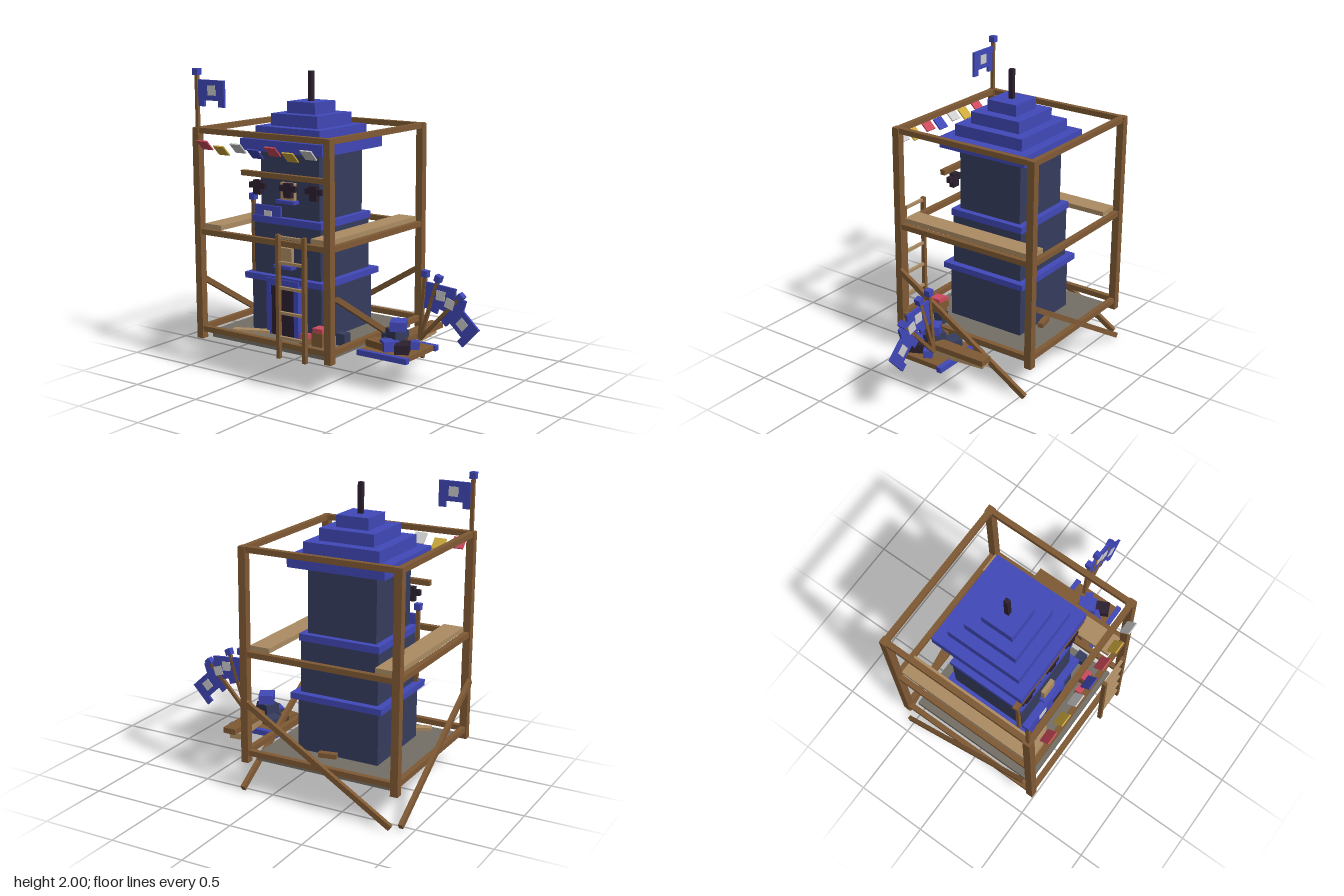
import * as THREE from 'three';

const mat = (name, color) => {
  const m = new THREE.MeshStandardMaterial({ color });
  m.name = name;
  return m;
};

export function createModel() {
  const wood = mat('wood brown', 0x805a34);
  const plank = mat('plank tan', 0xac8c63);
  const blue = mat('bright blue', 0x4148b8);
  const slate = mat('slate navy', 0x363d5e);
  const dark = mat('dark plum', 0x2c2030);
  const red = mat('red', 0xcc4a5c);
  const yellow = mat('yellow', 0xccaa3c);
  const white = mat('pale grey', 0xcccccc);
  const stone = mat('stone grey', 0x746f65);

  const model = new THREE.Group();
  const group = (name, parent = model) => {
    const g = new THREE.Group();
    g.name = name;
    parent.add(g);
    return g;
  };
  // Box from centre and size
  const box = (parent, name, m, [x, y, z], [w, h, d], ry = 0) => {
    const b = new THREE.Mesh(new THREE.BoxGeometry(w, h, d), m);
    b.name = name;
    b.position.set(x, y, z);
    b.rotation.y = ry;
    parent.add(b);
    return b;
  };
  // Box from horizontal centre and bottom/top heights
  const block = (parent, name, m, x, z, y0, y1, w, d = w, ry = 0) =>
    box(parent, name, m, [x, (y0 + y1) / 2, z], [w, y1 - y0, d], ry);
  // Square beam between two points
  const beam = (parent, name, m, a, b, w, h) => {
    const p = new THREE.Vector3(...a), q = new THREE.Vector3(...b);
    const mid = p.clone().add(q).multiplyScalar(0.5);
    const s = box(parent, name, m, mid.toArray(), [w, h, p.distanceTo(q)]);
    s.lookAt(q);
  };

  const CX = -0.36, CZ = -0.024, R = 0.522;

  // Stone base
  block(model, 'stoneBase', stone, CX, CZ, 0.22, 0.268, 0.95);

  // Scaffold: posts, three rings of rails, walkways and braces
  const scaffold = group('scaffold');
  for (const sx of [-1, 1])
    for (const sz of [-1, 1])
      block(scaffold, 'post', wood, CX + sx * R, CZ + sz * R, 0.22, 1.62, 0.05);
  for (const y of [0.287, 0.942, 1.605])
    for (const s of [-1, 1]) {
      box(scaffold, 'rail', wood, [CX, y, CZ + s * R], [2 * R + 0.05, 0.036, 0.036]);
      box(scaffold, 'rail', wood, [CX + s * R, y, CZ], [0.036, 0.036, 2 * R + 0.05]);
    }
  for (const s of [-1, 1])
    block(scaffold, 'walkway', plank, CX + s * 0.431, CZ, 0.958, 0.99, 0.138, 1.0);
  for (const x of [-0.917, 0.2])
    beam(scaffold, 'sideBrace', wood, [x, 0.633, 0.473], [x, 0.02, -0.538], 0.028, 0.036);
  beam(scaffold, 'backBrace', wood, [0.14, 0.633, -0.582], [-0.87, 0.02, -0.582], 0.028, 0.036);

  // Tower body, trim bands and stepped roof: [name, material, half width, bottom, top]
  const tower = group('tower');
  const tiers = [
    ['lowerWall', slate, 0.282, 0.265, 0.618], ['lowerBand', blue, 0.318, 0.617, 0.657],
    ['middleWall', slate, 0.27, 0.655, 1.0], ['upperBand', blue, 0.279, 0.995, 1.04],
    ['upperWall', slate, 0.237, 1.04, 1.475], ['roofStep', blue, 0.332, 1.472, 1.547],
    ['roofStep', blue, 0.26, 1.547, 1.625], ['roofStep', blue, 0.187, 1.625, 1.704],
    ['roofStep', blue, 0.112, 1.704, 1.78], ['roofSpire', dark, 0.015, 1.78, 1.975],
  ];
  for (const [name, m, half, y0, y1] of tiers) block(tower, name, m, CX, CZ, y0, y1, half * 2);

  // Door with frame
  block(tower, 'door', dark, CX, 0.275, 0.268, 0.6, 0.19, 0.05);
  for (const s of [-1, 1]) block(tower, 'doorJamb', blue, CX + s * 0.112, 0.28, 0.268, 0.645, 0.036, 0.05);
  block(tower, 'doorLintel', blue, CX, 0.28, 0.598, 0.645, 0.26, 0.05);

  // Windows with sills
  for (const [y, z] of [[0.735, 0.247], [1.158, 0.214]]) {
    block(tower, 'window', plank, CX, z + 0.012, y, y + 0.115, 0.11, 0.03);
    block(tower, 'windowSill', blue, CX, z + 0.02, y - 0.02, y + 0.002, 0.15, 0.07);
  }

  // Cross beam with hanging lamps
  const hanging = group('hangingBeam');
  box(hanging, 'crossBeam', wood, [-0.355, 1.315, 0.265], [0.71, 0.034, 0.036]);
  for (const x of [-0.58, -0.33, -0.125]) {
    block(hanging, 'lamp', dark, x, 0.265, 1.182, 1.277, 0.058, 0.034);
    block(hanging, 'lampArm', dark, x, 0.265, 1.223, 1.26, 0.128, 0.03);
  }

  // Flag on a pole, tilted about its foot
  const flag = (name, x, y, z, tilt, length = 0.455) => {
    const f = group(name);
    f.position.set(x, y, z);
    f.rotation.z = -tilt;
    const t = length;
    block(f, 'flagPole', wood, 0, 0, 0, t - 0.03, 0.022);
    block(f, 'poleCap', blue, 0, 0, t - 0.042, t, 0.042);
    block(f, 'flagCloth', blue, 0.122, 0, t - 0.2, t - 0.07, 0.215, 0.016);
    for (const tx of [0.039, 0.205]) block(f, 'flagTail', blue, tx, 0, t - 0.24, t - 0.2, 0.05, 0.016);
    for (const s of [-1, 1]) block(f, 'flagPatch', white, 0.128, s * 0.0095, t - 0.167, t - 0.104, 0.064, 0.005);
  };
  flag('topFlag', -0.88, 1.545, 0.497, 0);
  flag('towerFlag', -0.645, 0.655, 0.235, 0, 0.525);
  for (const a of [5, 18, 43]) flag('cartFlag', 0.488, 0.312, -0.027, THREE.MathUtils.degToRad(a));

  // Row of tilted pennant plates
  const pennants = group('pennants');
  [red, yellow, white, blue, red, yellow, white].forEach((m, i) => {
    const p = box(pennants, 'pennant', m, [-0.77 + i * 0.1373, i % 2 ? 1.497 : 1.521, 0.558], [0.085, 0.085, 0.009]);
    p.rotation.x = Math.PI / 4;
  });

  // Ladder
  const ladder = group('ladder');
  for (const x of [-0.176, 0.028]) block(ladder, 'ladderRail', wood, x, 0.572, 0.22, 1.015, 0.024, 0.028);
  for (let i = 0; i < 5; i++) box(ladder, 'rung', plank, [-0.074, 0.358 + i * 0.16, 0.572], [0.19, 0.018, 0.02]);

  // Side platform with its load
  const cart = group('sidePlatform');
  block(cart, 'platformBed', wood, 0.367, 0.052, 0.225, 0.258, 0.355, 0.33);
  for (const z of [-0.123, 0.228]) block(cart, 'platformEdge', blue, 0.375, z, 0.222, 0.258, 0.37, 0.036);
  block(cart, 'stackedPlank', plank, 0.39, -0.165, 0.26, 0.298, 0.085, 0.38, 0.1);
  block(cart, 'stackedPlank', wood, 0.402, -0.165, 0.298, 0.335, 0.092, 0.43);
  block(cart, 'shortPlank', wood, 0.28, 0.125, 0.26, 0.305, 0.16, 0.09, -0.2);
  block(cart, 'brick', slate, 0.3, -0.01, 0.26, 0.318, 0.14, 0.1, -0.5);
  block(cart, 'brick', slate, 0.36, 0.1, 0.26, 0.318, 0.13, 0.1, 0.2);
  block(cart, 'brick', dark, 0.46, 0.13, 0.26, 0.318, 0.09, 0.13, 0.45);
  block(cart, 'brick', slate, 0.37, 0.055, 0.318, 0.38, 0.12, 0.1, -0.45);
  block(cart, 'brick', blue, 0.37, 0.14, 0.26, 0.325, 0.09, 0.1, -0.7);
  block(cart, 'brick', blue, 0.47, 0.03, 0.26, 0.31, 0.09, 0.06, 0.6);
  block(cart, 'brick', blue, 0.388, 0.066, 0.38, 0.44, 0.1, 0.12, 0.45);

  // Loose supplies on the base
  const supplies = group('supplies');
  for (const [x, z, w, h] of [[-0.12, 0.367, 0.055, 0.31], [-0.028, 0.335, 0.075, 0.358]]) {
    block(supplies, 'crate', wood, x, z, 0.266, h, w + 0.006);
    block(supplies, 'crateTop', red, x, z, h, h + 0.028, w);
  }
  block(supplies, 'looseStone', slate, 0.075, 0.232, 0.266, 0.345, 0.066);
  block(supplies, 'loosePlank', plank, -0.58, 0.35, 0.266, 0.29, 0.25, 0.052, 0.42);
  block(supplies, 'looseLog', wood, -0.31, -0.34, 0.266, 0.3, 0.12, 0.04, 0.2);

  return model;
}
